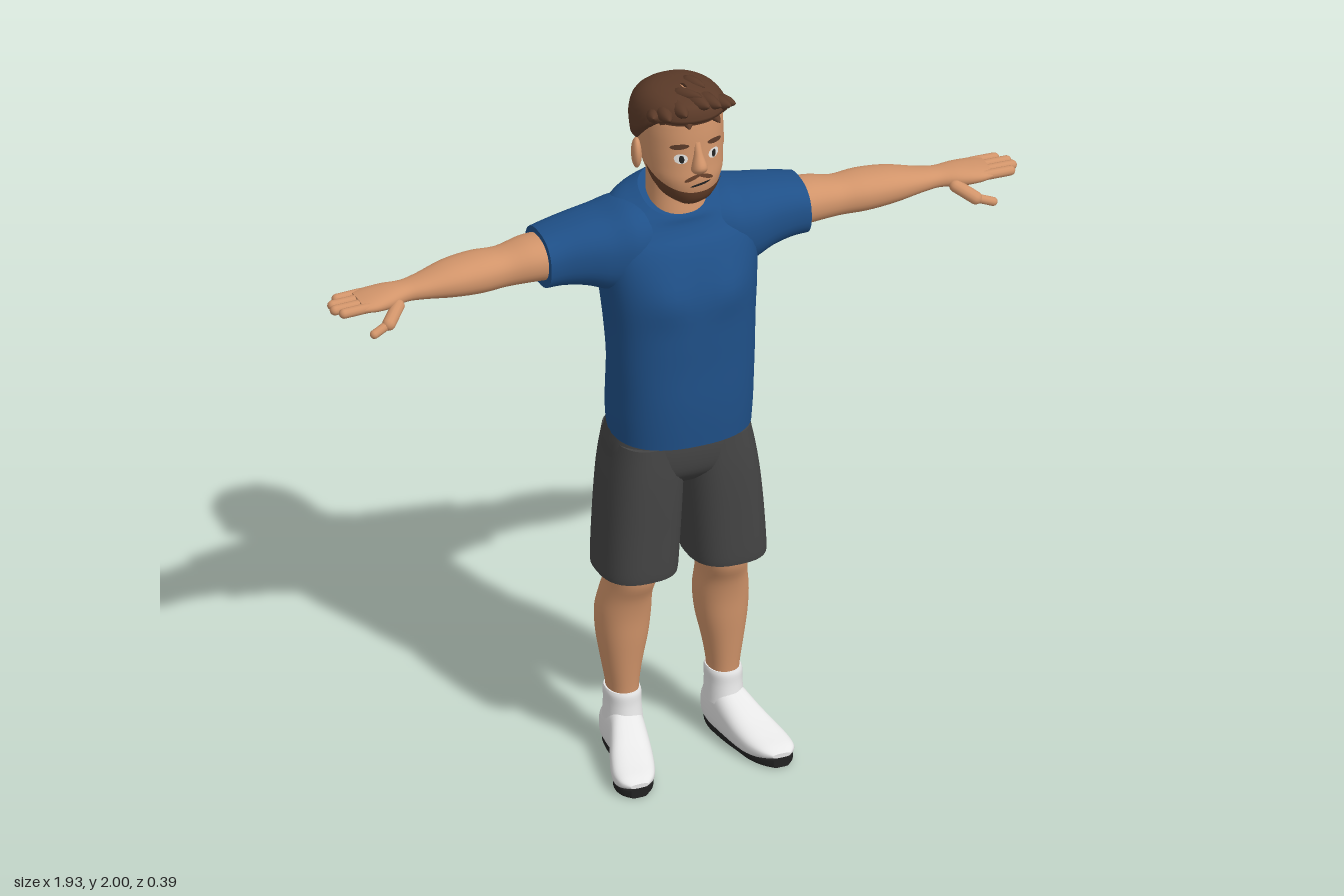
import * as THREE from 'three';

const paint = (name, color) => Object.assign(new THREE.MeshStandardMaterial({ color }), { name });
const skin = paint('skin', 0xd1946a), shirt = paint('shirt blue', 0x1f5088), cloth = paint('shorts grey', 0x444444);
const hairMat = paint('hair brown', 0x5c3b29), white = paint('shoe white', 0xe6e6e6), rubber = paint('sole black', 0x222222);
const stubble = paint('shaved hair', 0x4b4642), beardMat = paint('beard brown', 0x66402a);
const eyeMat = paint('eye white', 0xf2f0ec);
hairMat.side = THREE.DoubleSide;

// Smooth interpolation of cross-section rows [t, aMin, aMax, bMin, bMax]
function refine(rows, steps = 4) {
  const out = [], last = rows.length - 1, at = i => rows[Math.min(Math.max(i, 0), last)];
  for (let i = 0; i < last; i++) for (let s = 0; s < steps; s++) {
    const u = s / steps;
    out.push(rows[i].map((p1, k) => {
      const p0 = at(i - 1)[k], p2 = at(i + 1)[k], p3 = at(i + 2)[k];
      return p1 + 0.5 * u * (p2 - p0 + u * (2 * p0 - 5 * p1 + 4 * p2 - p3 + u * (3 * (p1 - p2) + p3 - p0)));
    }));
  }
  return [...out, rows[last]];
}

// Axis maps: (t, a, b) to (x, y, z), all right-handed
const axes = { x: (t, a, b) => [t, a, b], y: (t, a, b) => [b, t, a], z: (t, a, b) => [a, b, t] };
const pw = (v, n) => Math.sign(v) * Math.abs(v) ** (2 / n);
function ringPoint(axis, [t, a0, a1, b0, b1], th, n, off = 0) {
  return axes[axis](t, (a0 + a1) / 2 + ((a1 - a0) / 2 + off) * pw(Math.cos(th), n),
    (b0 + b1) / 2 + ((b1 - b0) / 2 + off) * pw(Math.sin(th), n));
}
function build(pos, idx) {
  const g = new THREE.BufferGeometry();
  g.setAttribute('position', new THREE.Float32BufferAttribute(pos, 3));
  g.setIndex(idx);
  g.computeVertexNormals();
  return g;
}

// Closed body through superellipse cross-sections, with flat end caps
function loft(axis, rows, n = 2.2, warp = null, seg = 36) {
  const rings = refine(rows), pos = [], idx = [], R = rings.length;
  const add = p => pos.push(...(warp ? warp(...p) : p));
  rings.forEach(r => { for (let j = 0; j < seg; j++) add(ringPoint(axis, r, j / seg * Math.PI * 2, n)); });
  for (let i = 0; i < R - 1; i++) for (let j = 0; j < seg; j++) {
    const a = i * seg + j, b = i * seg + (j + 1) % seg;
    idx.push(a, b, b + seg, a, b + seg, a + seg);
  }
  [rings[0], rings[R - 1]].forEach((r, end) => {
    const c = pos.length / 3;
    add(axes[axis](r[0], (r[1] + r[2]) / 2, (r[3] + r[4]) / 2));
    for (let j = 0; j < seg; j++) add(ringPoint(axis, r, j / seg * Math.PI * 2, n));
    for (let j = 0; j < seg; j++) {
      const a = c + 1 + j, b = c + 1 + (j + 1) % seg;
      idx.push(...(end ? [c, a, b] : [c, b, a]));
    }
  });
  return build(pos, idx);
}

// Thin sheet lying on an upright lofted surface, between two height curves
function patch(rows, u0, u1, lo, hi, off, nu = 16, nv = 5) {
  const fine = refine(rows), pos = [], idx = [];
  const rowAt = y => {
    let i = 0;
    while (i < fine.length - 2 && fine[i + 1][0] < y) i++;
    const f = THREE.MathUtils.clamp((y - fine[i][0]) / (fine[i + 1][0] - fine[i][0]), 0, 1);
    return fine[i].map((v, k) => v + (fine[i + 1][k] - v) * f);
  };
  for (let i = 0; i <= nv; i++) for (let j = 0; j <= nu; j++) {
    const u = u0 + (u1 - u0) * j / nu, v = Math.sin(i / nv * Math.PI / 2);
    pos.push(...ringPoint('y', rowAt(lo(u) + (hi(u) - lo(u)) * v), u, 2.2, typeof off === 'function' ? off(i / nv) : off));
  }
  for (let i = 0; i < nv; i++) for (let j = 0; j < nu; j++) {
    const a = i * (nu + 1) + j, c = a + nu + 1;
    idx.push(a, a + 1, c + 1, a, c + 1, c);
  }
  return build(pos, idx);
}
const spot = (rows, u, y, w, h, off, tilt = 0) => {
  const e = t => h * Math.sqrt(Math.max(0, 1 - ((t - u) / w) ** 2));
  return patch(rows, u - w, u + w, t => y + tilt * (t - u) - e(t), t => y + tilt * (t - u) + e(t), off);
};

// Place an upright geometry of unit length between two points
function between(geo, a, b) {
  const A = new THREE.Vector3(...a), d = new THREE.Vector3(...b).sub(A);
  const q = new THREE.Quaternion().setFromUnitVectors(new THREE.Vector3(0, 1, 0), d.clone().normalize());
  return geo.applyMatrix4(new THREE.Matrix4().compose(A, q, new THREE.Vector3(1, 1, 1)));
}
const dist = (a, b) => Math.hypot(...a.map((v, i) => v - b[i]));
const finger = (a, b, r) => between(new THREE.CapsuleGeometry(r, dist(a, b), 5, 12).translate(0, dist(a, b) / 2, 0), a, b);
const lock = (a, b, r) => between(new THREE.LatheGeometry(
  [[0, 0], [.7, .1], [1, .35], [.75, .65], [.35, .88], [0, 1]].map(([x, y]) => new THREE.Vector2(x * r, y * dist(a, b))), 12), a, b);

function mirror(geo) {
  const g = geo.clone().scale(-1, 1, 1), ix = g.index.array;
  for (let i = 0; i < ix.length; i += 3) [ix[i], ix[i + 1]] = [ix[i + 1], ix[i]];
  return g;
}

export function createModel() {
  const model = new THREE.Group();
  model.name = 'standingMan';
  const add = (name, geo, mat) => {
    const m = new THREE.Mesh(geo, mat);
    m.name = name;
    model.add(m);
  };
  const pair = (name, geo, mat) => {
    add(name + 'Left', geo, mat);
    add(name + 'Right', mirror(geo), mat);
  };
  const sym = rows => rows.map(([y, back, front, w]) => [y, back, front, -w, w]);

  // Shirt: collar dips to the front, chest slightly swollen
  add('shirtBody', loft('y', sym([[.975, -.168, .13, .188], [1.04, -.17, .134, .192], [1.11, -.162, .136, .193],
    [1.2, -.15, .135, .195], [1.3, -.168, .136, .199], [1.4, -.185, .132, .207], [1.5, -.193, .105, .215],
    [1.57, -.187, .07, .205], [1.62, -.165, .05, .165], [1.65, -.14, .045, .115], [1.662, -.128, .04, .095]]), 2.4,
  (x, y, z) => {
    const chest = z > 0 ? .012 * Math.exp(-(((Math.abs(x) - .085) / .06) ** 2) - ((y - 1.42) / .06) ** 2) : 0;
    return [x, y - Math.max(0, (y - 1.55) / .11) * .4 * (z + .06), z + chest];
  }, 48), shirt);
  pair('sleeve', loft('x', [[.08, 1.42, 1.635, -.17, .05], [.14, 1.4, 1.64, -.185, .06], [.2, 1.405, 1.622, -.188, .045],
    [.26, 1.425, 1.61, -.182, .025], [.32, 1.433, 1.596, -.178, .008], [.366, 1.433, 1.585, -.174, .002]], 2.4), shirt);

  // Arms and hands
  pair('arm', loft('x', [[.33, 1.45, 1.57, -.16, -.012], [.4, 1.453, 1.568, -.158, -.018], [.47, 1.452, 1.553, -.15, -.03],
    [.54, 1.452, 1.555, -.155, -.022], [.62, 1.46, 1.55, -.145, -.022], [.7, 1.472, 1.533, -.122, -.034],
    [.75, 1.475, 1.525, -.114, -.04], [.8, 1.474, 1.526, -.12, -.022], [.85, 1.48, 1.522, -.121, -.012],
    [.885, 1.487, 1.516, -.116, -.016]]), skin);
  [[-.106, .925], [-.08, .948], [-.054, .952], [-.029, .937]].forEach(([z, x], i) =>
    pair('finger' + (i + 1), finger([.86, 1.502, z], [x, 1.5, z], .0135), skin));
  pair('thumbBase', finger([.785, 1.488, -.03], [.825, 1.462, .005], .018), skin);
  pair('thumb', finger([.825, 1.462, .005], [.87, 1.446, .015], .012), skin);

  // Shorts
  add('shortsSeat', loft('y', sym([[.83, -.11, .05, .1], [.87, -.15, .085, .19], [.93, -.162, .094, .197], [.99, -.16, .09, .185]]), 2.6), cloth);
  pair('shortsLeg', loft('y', [[.572, -.137, .094, .02, .23], [.6, -.14, .096, .017, .23], [.7, -.145, .096, .01, .224],
    [.8, -.152, .096, .004, .215], [.88, -.158, .094, .001, .204], [.96, -.155, .088, .004, .188]], 2.6), cloth);

  // Legs, socks and shoes
  pair('leg', loft('y', [[.14, -.11, -.012, .1, .18], [.2, -.112, -.01, .1, .183], [.27, -.125, -.004, .09, .194],
    [.35, -.14, .004, .073, .206], [.42, -.142, .01, .066, .209], [.48, -.13, .022, .068, .2], [.53, -.116, .042, .065, .192],
    [.58, -.115, .047, .06, .194], [.65, -.12, .05, .05, .205]]), skin);
  pair('sock', loft('y', [[.1, -.12, .01, .092, .192], [.15, -.116, .0, .095, .189], [.18, -.117, -.003, .094, .19], [.192, -.114, -.007, .097, .187]]), white);
  const shoe = [[-.132, .12, .165, .03, .08], [-.118, .104, .182, .006, .115], [-.07, .095, .192, .003, .142],
    [-.02, .098, .197, .003, .142], [.03, .105, .215, .003, .115], [.08, .115, .235, .003, .088],
    [.13, .13, .248, .006, .068], [.17, .15, .245, .02, .055], [.194, .175, .225, .03, .042]];
  pair('shoe', loft('z', shoe, 2.7), white);
  pair('sole', loft('z', shoe.map(([z, x0, x1]) => {
    const inset = z > .12 ? .003 : .008;
    return [z * .985, x0 + inset, x1 - inset, 0, .028];
  }), 5), rubber);

  // Neck and head
  add('neck', loft('y', sym([[1.56, -.115, .045, .085], [1.62, -.115, .038, .08], [1.68, -.11, .03, .077], [1.76, -.11, .03, .077]])), skin);
  const head = sym([[1.675, -.01, .078, .032], [1.69, -.035, .098, .056], [1.72, -.07, .112, .08], [1.76, -.1, .118, .098],
    [1.8, -.125, .114, .105], [1.85, -.14, .11, .109], [1.9, -.145, .106, .11], [1.94, -.135, .097, .103], [1.97, -.09, .06, .065]]);
  add('head', loft('y', head), skin);
  add('nose', loft('y', sym([[1.782, .09, .12, .012], [1.795, .09, .137, .021], [1.812, .09, .143, .019],
    [1.84, .09, .126, .012], [1.872, .09, .11, .009]])), skin);
  pair('ear', new THREE.SphereGeometry(1, 16, 12).scale(.014, .044, .026).rotateY(.25).translate(.113, 1.793, -.032), skin);

  // Face details
  pair('eye', spot(head, .4, 1.83, .17, .014, .002), eyeMat);
  pair('pupil', spot(head, .38, 1.83, .065, .011, .004), rubber);
  pair('eyebrow', spot(head, .42, 1.866, .23, .0075, .005, -.01), hairMat);
  pair('moustache', spot(head, .17, 1.773, .2, .006, .003, -.04), beardMat);
  add('mouth', spot(head, .03, 1.753, .26, .0035, .003, .02), rubber);
  add('beard', patch(head, -1.5, 1.5, () => 1.676, u => 1.728 + .024 * u * u, .003, 32), beardMat);
  add('shavedNape', patch(head, 1.9, Math.PI * 2 - 1.9, () => 1.742, () => 1.81, .004, 32), stubble);

  // Hair cap with swept locks
  const hair = sym([[1.74, -.125, .11, .1], [1.8, -.152, .114, .113], [1.86, -.168, .117, .12], [1.9, -.165, .12, .122],
    [1.94, -.146, .124, .115], [1.97, -.108, .118, .092], [1.985, -.065, .1, .06], [1.992, .0, .03, .006]]);
  add('hairCap', patch(hair, -Math.PI, Math.PI,
    u => 1.925 - .14 * THREE.MathUtils.smoothstep(Math.abs(u), .75, 2), () => 1.992, v => (v < .1 ? -.014 : 0), 48, 14), hairMat);
  [[-.085, 1.93, .02, -.115, 1.955, .085, .02], [-.07, 1.945, .03, -.085, 1.962, .125, .022], [-.035, 1.955, .03, -.045, 1.975, .14, .025],
    [0, 1.965, .03, .02, 1.988, .14, .025], [.03, 1.96, .03, .055, 1.98, .135, .024], [.065, 1.945, .03, .09, 1.965, .118, .022],
    [.085, 1.93, .01, .12, 1.945, .08, .02], [-.03, 1.968, .0, .015, 2.0, .1, .02], [.02, 1.97, -.05, .05, 1.99, .04, .02],
    [-.02, 1.94, .08, -.03, 1.925, .125, .014], [.05, 1.94, .07, .06, 1.92, .115, .014]].forEach(([x, y, z, X, Y, Z, r], i) =>
    add('hairLock' + (i + 1), lock([x, y, z], [X, Y, Z], r), hairMat));

  return model;
}
